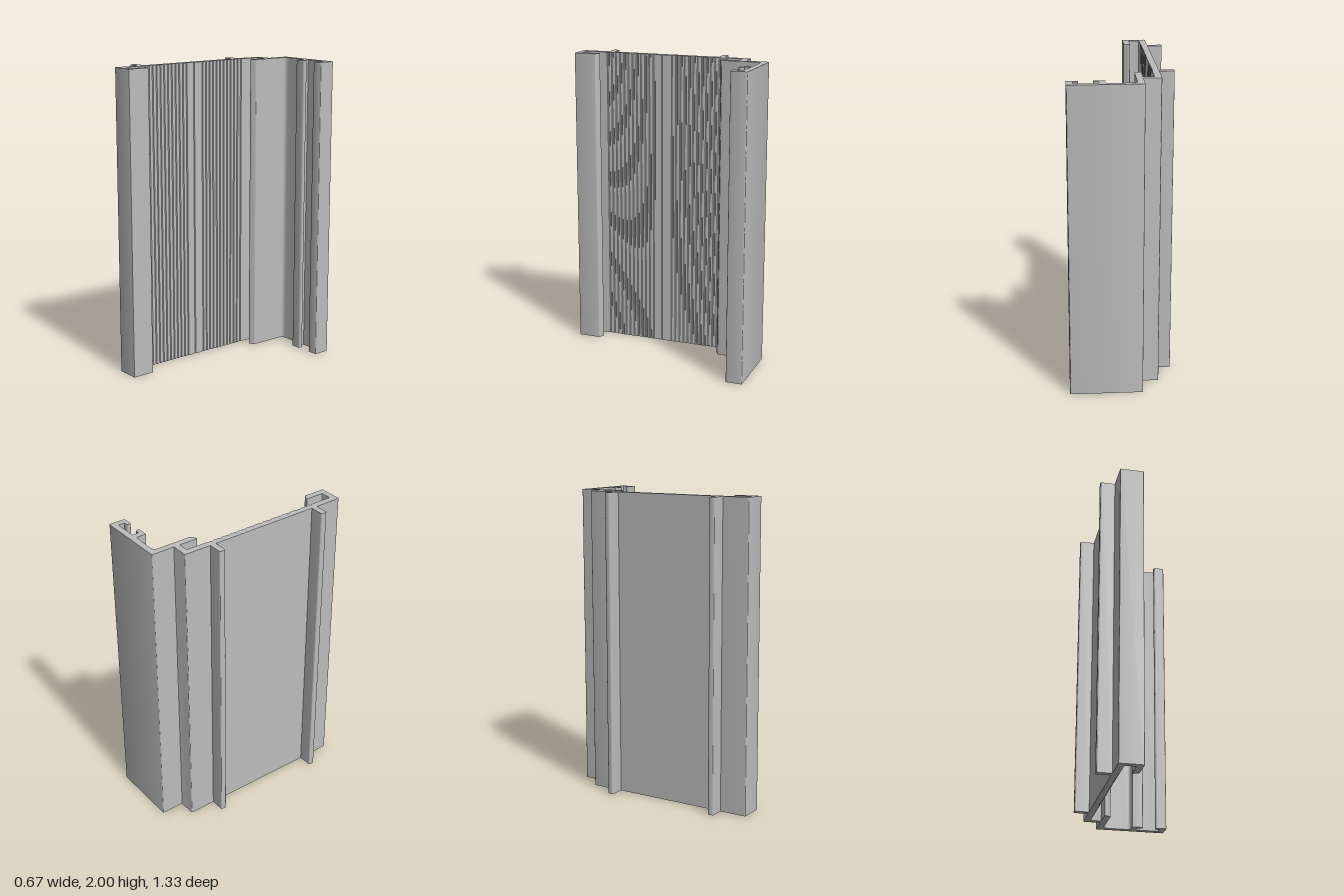
import * as THREE from 'three';
import { toCreasedNormals } from 'three/addons/utils/BufferGeometryUtils.js';

const HEIGHT = 2;

// Shallow grip grooves along the inner face of the web, as [x, z] points
function grooves(faceX) {
  const centres = [];
  for (let i = 0; i < 12; i++) centres.push(-0.32 + i * 0.03);
  centres.push(0.08);
  for (let i = 0; i < 12; i++) centres.push(0.14 + i * 0.03);
  return centres.flatMap((z) => [
    [faceX, z - 0.008], [faceX - 0.006, z - 0.004], [faceX - 0.006, z + 0.004], [faceX, z + 0.008],
  ]);
}

// Closed shape from [x, z, cornerRadius] points, rounding the corners that ask for it
function roundedShape(points) {
  const shape = new THREE.Shape();
  const pts = points.map(([x, z, r = 0]) => ({ p: new THREE.Vector2(x, -z), r }));
  pts.forEach(({ p, r }, i) => {
    const prev = pts[(i + pts.length - 1) % pts.length].p;
    const next = pts[(i + 1) % pts.length].p;
    const a = p.clone().add(prev.clone().sub(p).setLength(r));
    const b = p.clone().add(next.clone().sub(p).setLength(r));
    if (i === 0) shape.moveTo(a.x, a.y);
    else shape.lineTo(a.x, a.y);
    if (r > 0) shape.quadraticCurveTo(p.x, p.y, b.x, b.y);
  });
  shape.closePath();
  return shape;
}

export function createModel() {
  const aluminium = new THREE.MeshStandardMaterial({ color: 0xbcbcbc });
  aluminium.name = 'aluminium grey';

  const outline = [
    // top flange
    [-0.13, -0.667, 0.008], [0.333, -0.667, 0.008],
    // outer hooked lip
    [0.333, -0.557, 0.01], [0.258, -0.557, 0.013], [0.258, -0.585, 0.013],
    [0.292, -0.585], [0.292, -0.627, 0.004],
    // inner hooked lip
    [0.137, -0.627], [0.137, -0.585], [0.172, -0.585, 0.013], [0.172, -0.557, 0.013],
    [0.098, -0.557, 0.004], [0.098, -0.627, 0.018],
    // upper leg with bevelled tip
    [-0.088, -0.627, 0.03], [-0.088, -0.365, 0.004], [-0.121, -0.346, 0.004], [-0.13, -0.346, 0.004],
    [-0.13, -0.471, 0.004], [-0.2, -0.471, 0.004],
    // grooved web
    ...grooves(-0.2),
    // lower channel
    [-0.2, 0.625, 0.004], [-0.13, 0.625, 0.004],
    [-0.13, 0.498, 0.004], [-0.121, 0.498, 0.004], [-0.088, 0.517, 0.004],
    [-0.088, 0.664, 0.004], [-0.243, 0.664, 0.006],
    // two fins on the outer side
    [-0.243, 0.483], [-0.338, 0.483, 0.01], [-0.338, 0.443, 0.01], [-0.243, 0.443],
    [-0.243, -0.293], [-0.338, -0.293, 0.01], [-0.338, -0.333, 0.01], [-0.243, -0.333],
    // step back to the flange
    [-0.243, -0.513, 0.008], [-0.13, -0.513, 0.003],
  ];

  const extruded = new THREE.ExtrudeGeometry(roundedShape(outline), {
    depth: HEIGHT, bevelEnabled: false, curveSegments: 5,
  });
  extruded.rotateX(-Math.PI / 2);

  const rail = new THREE.Mesh(toCreasedNormals(extruded, 0.5), aluminium);
  rail.name = 'extrudedRail';

  const group = new THREE.Group();
  group.name = 'railProfile';
  group.add(rail);
  return group;
}
